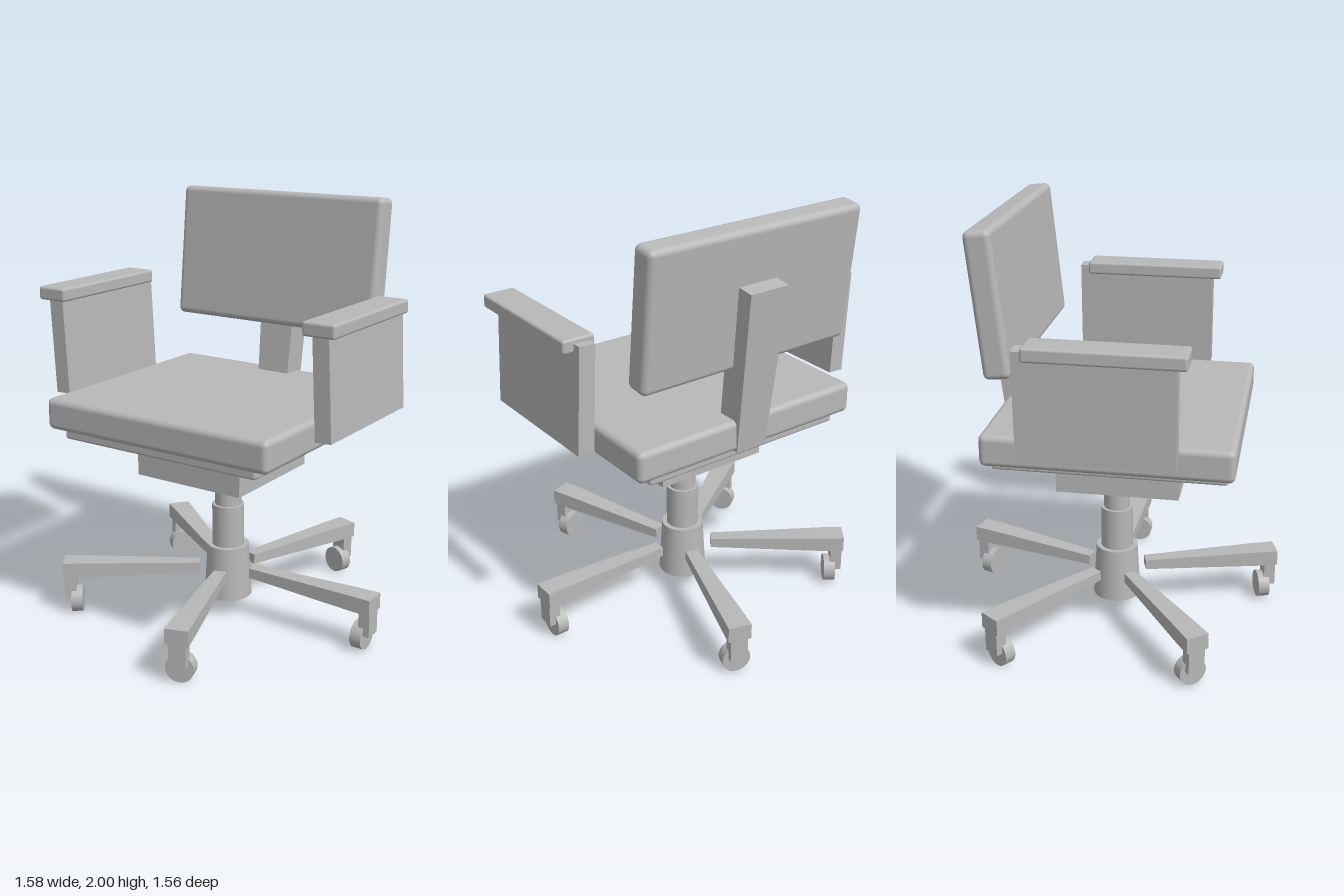
import * as THREE from 'three';
import { RoundedBoxGeometry } from 'three/addons/geometries/RoundedBoxGeometry.js';

const grey = new THREE.MeshStandardMaterial({ color: 0xb8b8b8 });
grey.name = 'grey';

function add(parent, name, geometry, x, y, z) {
  const mesh = new THREE.Mesh(geometry, grey);
  mesh.name = name;
  mesh.position.set(x, y, z);
  parent.add(mesh);
  return mesh;
}

// Moves every corner of a geometry by a rule, then gives it flat faces
function reshape(geometry, rule) {
  const g = geometry.toNonIndexed();
  const p = g.attributes.position;
  const v = new THREE.Vector3();
  for (let i = 0; i < p.count; i++) {
    rule(v.fromBufferAttribute(p, i));
    p.setXYZ(i, v.x, v.y, v.z);
  }
  g.computeVertexNormals();
  return g;
}

// One leg of the star base with its caster, pointing along +x
function createLeg() {
  const leg = new THREE.Group();
  leg.name = 'baseLeg';
  const beam = reshape(new THREE.BoxGeometry(1, 1, 1, 2, 1, 1), (v) => {
    const inner = v.x < -0.25;
    const outer = v.x > 0.25;
    const width = inner ? 0.06 : outer ? 0.108 : 0.102;
    const height = inner ? 0.048 : 0.075;
    v.set(inner ? 0.14 : outer ? 0.8 : 0.7, 0.232 + v.y * height, v.z * width);
  });
  add(leg, 'legBeam', beam, 0, 0, 0);
  add(leg, 'casterStem', new THREE.BoxGeometry(0.055, 0.13, 0.08), 0.768, 0.145, 0);
  const wheel = new THREE.CylinderGeometry(0.066, 0.066, 0.055, 32).rotateZ(Math.PI / 2);
  add(leg, 'casterWheel', wheel, 0.738, 0.068, 0);
  return leg;
}

export function createModel() {
  const chair = new THREE.Group();
  chair.name = 'officeChair';
  const cx = -0.012;

  // Five-legged base
  for (let i = 0; i < 5; i++) {
    const leg = createLeg();
    leg.position.x = cx;
    leg.rotation.y = (i * Math.PI * 2) / 5;
    chair.add(leg);
  }

  // Telescopic column: top radius, bottom radius, low and high ends
  const column = [
    ['columnSleeve', 0.1, 0.115, 0.09, 0.35],
    ['columnMiddle', 0.077, 0.077, 0.35, 0.555],
    ['columnPiston', 0.063, 0.063, 0.555, 0.745],
  ];
  for (const [name, top, bottom, low, high] of column) {
    add(chair, name, new THREE.CylinderGeometry(top, bottom, high - low, 32), cx, (low + high) / 2, 0);
  }

  // Seat
  add(chair, 'tiltMechanism', new THREE.BoxGeometry(0.565, 0.205, 0.565), cx, 0.8425, 0.048);
  add(chair, 'seatPlate', new RoundedBoxGeometry(1.03, 0.07, 1.035, 3, 0.012), cx, 0.97, 0.048);
  add(chair, 'seatCushion', new RoundedBoxGeometry(1.185, 0.147, 1.105, 4, 0.028), cx, 1.051, 0.048);

  // Leaning backrest on a post that widens upward
  const post = reshape(new THREE.BoxGeometry(0.18, 0.77, 0.13), (v) => {
    v.x *= 1 + v.y * 0.3;
  });
  add(chair, 'backPost', post, cx, 1.363, -0.488).rotation.x = -0.12;
  add(chair, 'backrest', new RoundedBoxGeometry(1.107, 0.637, 0.12, 4, 0.028), cx, 1.679, -0.452).rotation.x = -0.106;

  // Armrests, both panels leaning the same way
  for (const side of [-1, 1]) {
    const arm = new THREE.Group();
    arm.name = side > 0 ? 'leftArmrest' : 'rightArmrest';
    arm.position.x = cx + side * 0.707;
    add(arm, 'armPad', new RoundedBoxGeometry(0.152, 0.062, 0.67, 3, 0.012), 0, 1.56, 0.078);
    add(arm, 'armPanel', new THREE.BoxGeometry(0.077, 0.488, 0.67), 0, 1.325, 0.035).rotation.z = 0.05;
    chair.add(arm);
  }

  return chair;
}
